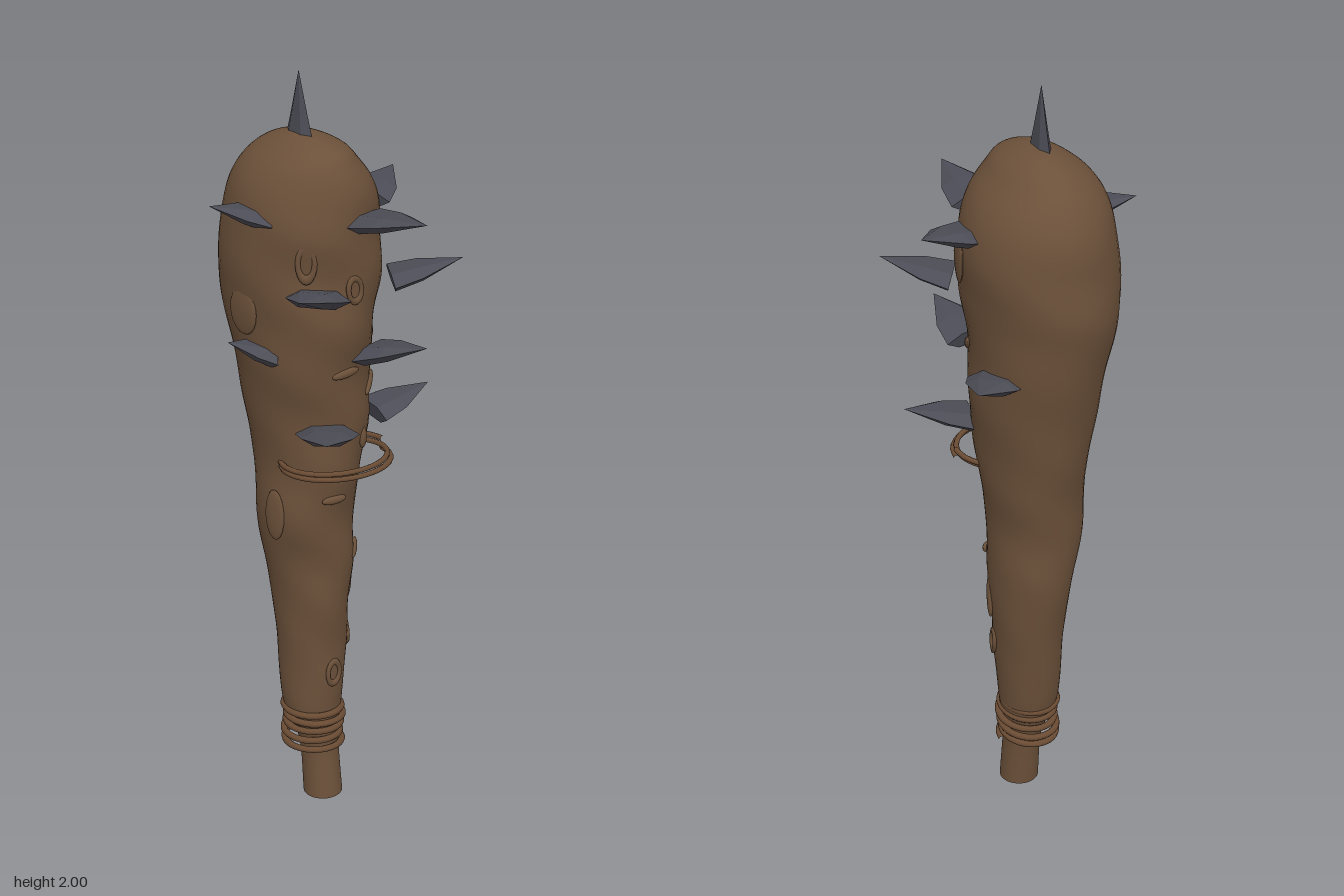
import * as THREE from 'three';

const wood = new THREE.MeshStandardMaterial({ color: 0x6c513a });
wood.name = 'wood';
const wire = new THREE.MeshStandardMaterial({ color: 0x6b4c34 });
wire.name = 'wire';
const iron = new THREE.MeshStandardMaterial({ color: 0x4c4c56, flatShading: true });
iron.name = 'iron';

// Club outline: height, left x, right x, back z, front z
const outline = [
  [0.01, -0.07, 0.035, -0.07, 0.035], [0.15, -0.07, 0.032, -0.085, 0.022],
  [0.22, -0.085, 0.037, -0.105, 0.025], [0.3, -0.11, 0.05, -0.13, 0.03],
  [0.5, -0.115, 0.068, -0.16, 0.04], [0.7, -0.135, 0.083, -0.19, 0.053],
  [0.85, -0.16, 0.083, -0.2, 0.067], [1.0, -0.16, 0.107, -0.22, 0.08],
  [1.2, -0.182, 0.127, -0.26, 0.1], [1.4, -0.215, 0.138, -0.295, 0.118],
  [1.5, -0.222, 0.148, -0.31, 0.128], [1.6, -0.22, 0.155, -0.305, 0.13],
  [1.68, -0.212, 0.147, -0.293, 0.127], [1.74, -0.195, 0.122, -0.268, 0.118],
  [1.79, -0.163, 0.08, -0.23, 0.1], [1.825, -0.12, 0.045, -0.185, 0.07],
  [1.848, -0.075, -0.005, -0.12, 0.0], [1.853, -0.051, -0.049, -0.066, -0.064],
];
const spline = (i, j) => new THREE.CatmullRomCurve3(
  outline.map(r => new THREE.Vector3(r[i], r[0], r[j])), false, 'catmullrom', 0.5);
const xs = spline(1, 2), zs = spline(3, 4);

// Point on the wood at curve parameter t; angle 0 is +x, a quarter turn is +z
function surface(t, a) {
  const px = xs.getPoint(t), pz = zs.getPoint(t);
  const y = px.y, c = Math.cos(a), s = Math.sin(a);
  const front = 0.35 + 0.65 * Math.max(0, s);
  const fade = Math.min(1, Math.max(0, (y - 0.28) * 5)) * Math.min(1, Math.max(0, (1.8 - y) * 5));
  const lump = 1 + fade * front * 0.03 *
    (Math.sin(y * 17 + a * 2) + 0.7 * Math.sin(y * 31 - a * 3 + 1));
  return new THREE.Vector3(
    (px.x + px.z) / 2 + (px.z - px.x) / 2 * c * lump, y,
    (pz.x + pz.z) / 2 + (pz.z - pz.x) / 2 * s * lump);
}

function paramAt(y) {
  let lo = 0, hi = 1;
  for (let i = 0; i < 30; i++) {
    const mid = (lo + hi) / 2;
    if (xs.getPoint(mid).y < y) lo = mid; else hi = mid;
  }
  return lo;
}

// Lofted wooden body with a flat foot
function clubBody() {
  const rows = 120, sides = 48, pos = [], idx = [];
  for (let r = 0; r <= rows; r++)
    for (let k = 0; k < sides; k++) pos.push(...surface(r / rows, k / sides * Math.PI * 2).toArray());
  for (let r = 0; r < rows; r++)
    for (let k = 0; k < sides; k++) {
      const a = r * sides + k, b = r * sides + (k + 1) % sides;
      idx.push(a, a + sides, b, b, a + sides, b + sides);
    }
  const foot = pos.length / 3;
  for (let k = 0; k < sides; k++) pos.push(...surface(0, k / sides * Math.PI * 2).toArray());
  pos.push(-0.018, 0, -0.018);
  for (let k = 0; k < sides; k++) idx.push(foot + k, foot + (k + 1) % sides, foot + sides);
  const g = new THREE.BufferGeometry();
  g.setAttribute('position', new THREE.Float32BufferAttribute(pos, 3));
  g.setIndex(idx);
  g.computeVertexNormals();
  return g;
}

// Flat six-sided spearhead along +y, wide in x and thin in z, length 1
function spikeGeometry(width, thick, shoulder) {
  const g = new THREE.CylinderGeometry(1, 1, 1, 6, 2).translate(0, 0.5, 0);
  const p = g.attributes.position;
  for (let i = 0; i < p.count; i++) {
    const y = p.getY(i);
    const k = y > 0.9 ? 0.001 : y > 0.4 ? shoulder : 1;
    // turn the section so that corners lie at its wide ends
    p.setXYZ(i, p.getZ(i) * k * width, y > 0.4 && y < 0.9 ? 0.4 : y, -p.getX(i) * k * thick);
  }
  return g;
}

function spike(name, base, tip, width, thick, shoulder, flatNormal) {
  const b = new THREE.Vector3(...base), d = new THREE.Vector3(...tip).sub(b);
  const m = new THREE.Mesh(spikeGeometry(width, thick, shoulder), iron);
  const y = d.clone().normalize();
  const x = new THREE.Vector3().crossVectors(y, flatNormal).normalize();
  const z = new THREE.Vector3().crossVectors(x, y);
  m.quaternion.setFromRotationMatrix(new THREE.Matrix4().makeBasis(x, y, z));
  m.position.copy(b);
  m.scale.y = d.length();
  m.name = name;
  return m;
}

// Wire wound around the wood
function coil(name, cx, cz, rx, rz, y0, y1, turns, radius) {
  const pts = [];
  const n = turns * 20;
  for (let i = 0; i <= n; i++) {
    const a = i / 20 * Math.PI * 2, w = 1 + 0.05 * Math.sin(i * 0.23);
    pts.push(new THREE.Vector3(cx + rx * w * Math.cos(a),
      y0 + (y1 - y0) * i / n + 0.006 * Math.sin(a), cz + rz * w * Math.sin(a)));
  }
  const m = new THREE.Mesh(
    new THREE.TubeGeometry(new THREE.CatmullRomCurve3(pts), n * 2, radius, 8), wire);
  m.name = name;
  return m;
}

// Raised knot or ridge lying on the wood
function knot(y, a, w, h, tilt, ring) {
  const g = ring ? new THREE.TorusGeometry(1, 0.32, 8, 20) : new THREE.SphereGeometry(1, 16, 10);
  const m = new THREE.Mesh(g, wood);
  m.position.copy(surface(paramAt(y), a));
  m.rotation.set(0, Math.PI / 2 - a, tilt, 'YXZ');
  m.scale.set(w, h, ring ? 0.018 : 0.009);
  m.name = ring ? 'knot' : 'barkRidge';
  return m;
}

export function createModel() {
  const model = new THREE.Group();
  model.name = 'spikedClub';
  const body = new THREE.Mesh(clubBody(), wood);
  body.name = 'clubBody';
  model.add(body);

  // Spikes around the head: base centre, tip
  const up = new THREE.Vector3(0, 1, 0);
  const spikes = [
    [[0.03, 1.66, 0.11], [0.05, 1.7, 0.31]],
    [[0.13, 1.655, -0.06], [0.28, 1.695, -0.13]],
    [[-0.16, 1.665, -0.04], [-0.285, 1.7, -0.1]],
    [[0.12, 1.49, 0.08], [0.275, 1.535, 0.165]],
    [[-0.1, 1.485, 0.09], [-0.238, 1.54, 0.205]],
    [[0.06, 1.31, 0.09], [0.1, 1.365, 0.255]],
    [[0.1, 1.31, -0.16], [0.2, 1.345, -0.272]],
    [[-0.16, 1.32, -0.03], [-0.26, 1.358, -0.07]],
    [[0.1, 1.125, 0.03], [0.265, 1.168, 0.05]],
    [[-0.07, 1.12, 0.08], [-0.172, 1.165, 0.22]],
  ];
  spikes.forEach(([b, t], i) => model.add(spike('sideSpike' + (i + 1), b, t, 0.08, 0.026, 0.8, up)));
  model.add(spike('topSpike', [-0.048, 1.83, -0.065], [-0.048, 2, -0.068],
    0.058, 0.02, 0.58, new THREE.Vector3(1, 0, 0)));

  // Wire on the grip and the loose loop below the spikes
  model.add(coil('gripWire', -0.03, -0.045, 0.075, 0.077, 0.16, 0.29, 5, 0.009));
  model.add(coil('looseWire', -0.008, 0.03, 0.143, 0.12, 1.012, 1.036, 2, 0.007));

  // Knots and ridges: height, angle, half width, half height, tilt, ring
  const q = Math.PI / 2;
  [
    [0.4, q - 0.1, 0.02, 0.032, 0, true], [1.5, q - 0.1, 0.02, 0.03, 0.2, true],
    [1.58, q + 0.6, 0.02, 0.04, 0, true], [0.48, 0.25, 0.022, 0.035, -0.4, true],
    [1.6, 0.2, 0.04, 0.07, 0, false], [1.43, Math.PI - 0.1, 0.05, 0.06, 0, false],
    [1.28, q, 0.04, 0.012, 0.1, false], [1.21, q - 0.8, 0.045, 0.012, 0.4, false],
    [1.35, 0.4, 0.05, 0.014, 0.5, false], [0.93, q + 0.1, 0.035, 0.012, 0, false],
    [0.74, 0.7, 0.035, 0.014, 0.4, false], [1.08, q - 0.5, 0.014, 0.03, 0, false],
    [0.88, Math.PI - 0.3, 0.03, 0.07, 0, false], [0.62, 0.3, 0.02, 0.06, 0.2, false],
  ].forEach(k => model.add(knot(...k)));
  return model;
}
